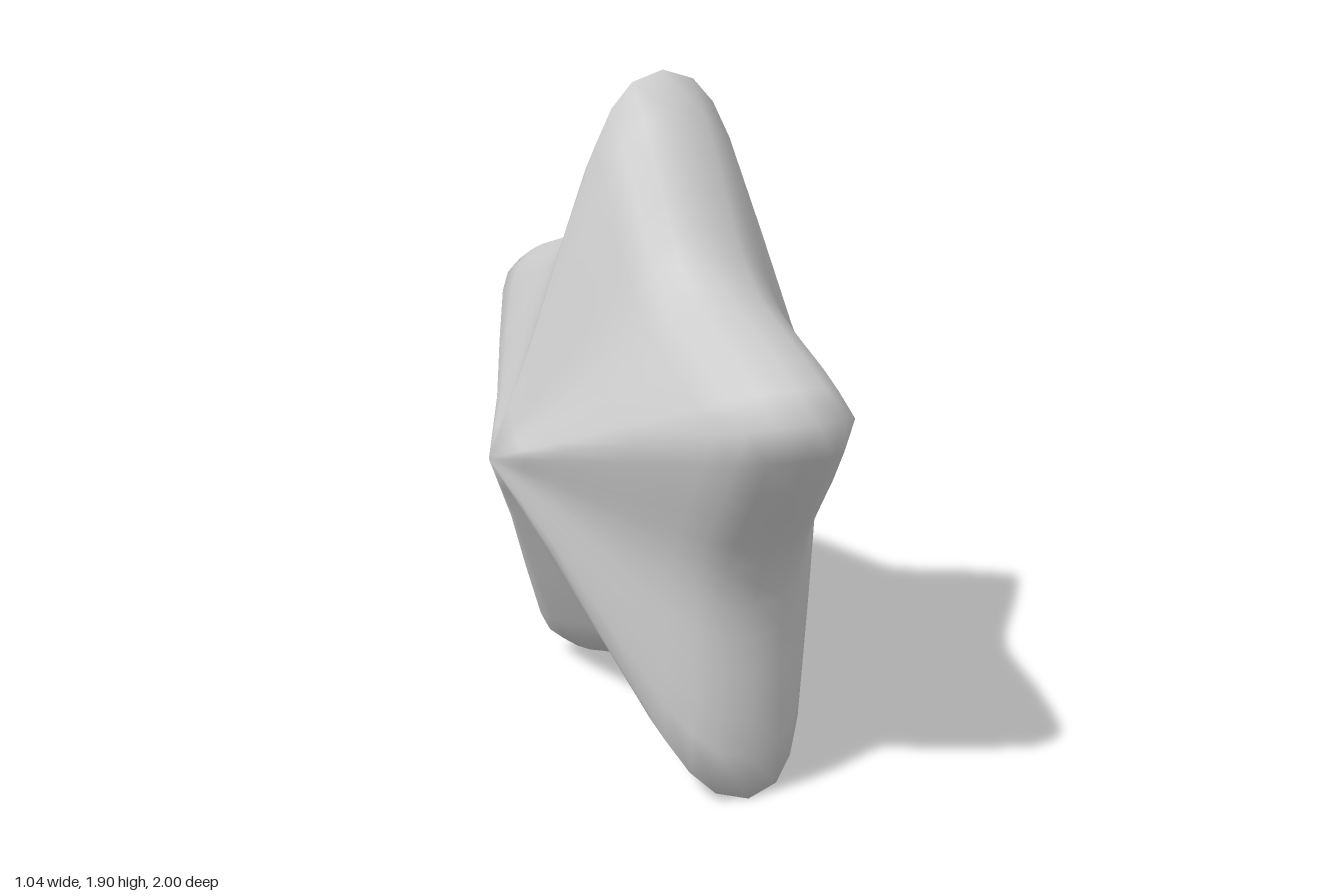
import * as THREE from 'three';

const CENTER_Y = 0.85;
const ARMS = 5;

// Half of one arm, from tip to valley: [across the arm, along the arm]
const HALF_ARM = [[0, 1.051], [0.09, 0.957], [0.165, 0.865], [0.235, 0.765], [0.3, 0.675], [0.355, 0.608], [0.41, 0.565]];

// Side profile: [x, scale of the star outline], rim to just before the peak
const PROFILE = [[0, 1], [0.09, 0.972], [0.15, 0.907], [0.2, 0.81], [0.3, 0.55], [0.4, 0.28], [0.46, 0.14]];
const PEAK = 0.52;

// Full outline as [angle, radius], turning from +y towards +z
function starOutline() {
  const half = HALF_ARM.map(([a, b]) => [Math.atan2(a, b), Math.hypot(a, b)]);
  half[half.length - 1][0] = Math.PI / ARMS;
  const mirrored = half.slice(1, -1).reverse().map(([t, r]) => [-t, r]);
  const points = [];
  for (let i = 0; i < ARMS; i++) {
    const turn = (i * 2 * Math.PI) / ARMS;
    for (const [t, r] of [...mirrored, ...half]) points.push([turn + t, r]);
  }
  return points;
}

// Scaled outlines stacked along x, closed by a peak on each side
function starGeometry() {
  const outline = starOutline();
  const n = outline.length;
  const levels = [...PROFILE.slice(1).reverse().map(([x, s]) => [-x, s]), ...PROFILE];
  const positions = [];
  const index = [];

  for (const [x, s] of levels) {
    for (const [t, r] of outline) {
      positions.push(x, CENTER_Y + s * r * Math.cos(t), s * r * Math.sin(t));
    }
  }
  const rightPeak = levels.length * n;
  const leftPeak = rightPeak + 1;
  positions.push(-PEAK, CENTER_Y, 0, PEAK, CENTER_Y, 0);

  const last = (levels.length - 1) * n;
  for (let k = 0; k < n; k++) {
    const next = (k + 1) % n;
    for (let j = 0; j < levels.length - 1; j++) {
      const a = j * n + k, b = j * n + next;
      index.push(a, b, b + n, a, b + n, a + n);
    }
    index.push(rightPeak, next, k);
    index.push(leftPeak, last + k, last + next);
  }

  const geometry = new THREE.BufferGeometry();
  geometry.setAttribute('position', new THREE.Float32BufferAttribute(positions, 3));
  geometry.setIndex(index);
  geometry.computeVertexNormals();
  return geometry;
}

export function createModel() {
  const group = new THREE.Group();
  group.name = 'puffyStar';
  const star = new THREE.Mesh(starGeometry(), new THREE.MeshStandardMaterial({ color: 0xcccccc }));
  star.name = 'starBody';
  group.add(star);
  return group;
}
